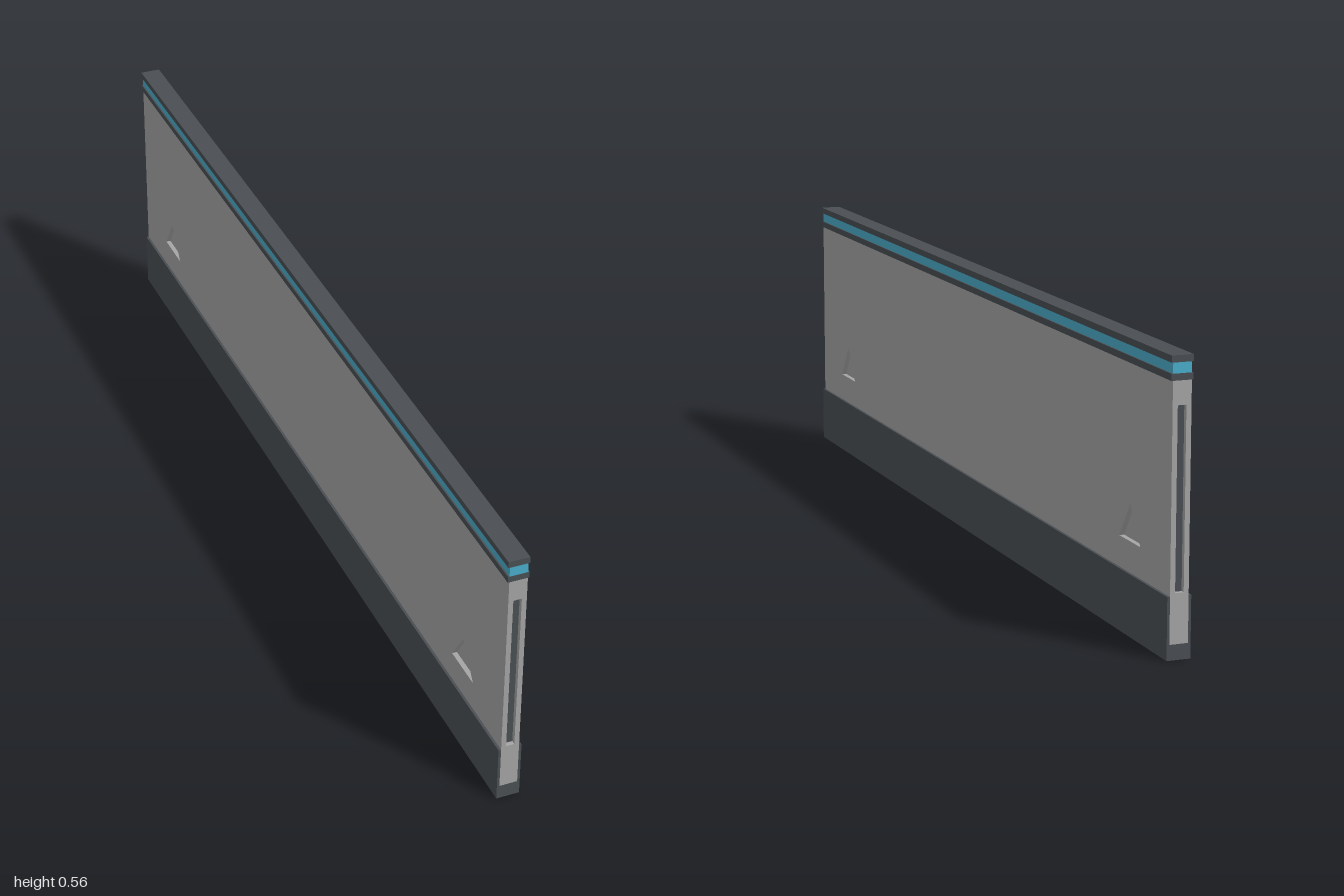
import * as THREE from 'three';

export function createModel() {
  const model = new THREE.Group();
  model.name = 'barrierWall';

  const mat = (name, color) => {
    const m = new THREE.MeshStandardMaterial({ color });
    m.name = name;
    return m;
  };
  const gray = mat('wall gray', 0xa5a5a5);
  const dark = mat('dark trim', 0x4a4f53);
  const blue = mat('light strip blue', 0x4aaccb);

  const add = (name, geometry, material) => {
    const mesh = new THREE.Mesh(geometry, material);
    mesh.name = name;
    model.add(mesh);
    return mesh;
  };
  // Box given by half width, y range and z range
  const box = (name, material, hw, y0, y1, z0 = -1, z1 = 1) => {
    const mesh = add(name, new THREE.BoxGeometry(hw * 2, y1 - y0, z1 - z0), material);
    mesh.position.set(0, (y0 + y1) / 2, (z0 + z1) / 2);
    return mesh;
  };
  const polygon = (points, Type = THREE.Shape) =>
    new Type(points.map(([x, y]) => new THREE.Vector2(x, y)));

  const wallHalf = 0.0185, coreHalf = 0.0085;
  const bottom = 0.03, top = 0.517;
  const slotLow = 0.126, slotHigh = 0.472, slotDepth = 0.012;

  // Side panels with triangular recesses, around a thin core
  const panel = polygon([[-1, bottom], [1, bottom], [1, top], [-1, top]]);
  for (const z of [-0.82, 0.82]) {
    panel.holes.push(polygon([[z - 0.048, 0.18], [z, 0.252], [z + 0.048, 0.18]], THREE.Path));
  }
  const panelGeometry = new THREE.ExtrudeGeometry(panel, {
    depth: wallHalf - coreHalf, bevelEnabled: false,
  });
  for (const side of [-1, 1]) {
    const mesh = add(side > 0 ? 'leftPanel' : 'rightPanel', panelGeometry, gray);
    mesh.rotation.y = side * Math.PI / 2;
    mesh.position.x = side * coreHalf;
  }
  box('wallCore', gray, coreHalf, bottom, top, -1 + slotDepth, 1 - slotDepth);

  // Wall ends: fillers above and below a recessed dark slot
  for (const s of [-1, 1]) {
    const end = (name, material, hw, y0, y1, inner, outer) =>
      box(name, material, hw, y0, y1, Math.min(s * inner, s * outer), Math.max(s * inner, s * outer));
    end('endFillerLow', gray, coreHalf, bottom, slotLow, 1 - slotDepth, 1);
    end('endFillerHigh', gray, coreHalf, slotHigh, top, 1 - slotDepth, 1);
    end('endSlot', dark, coreHalf, slotLow, slotHigh, 1 - slotDepth, 1 - slotDepth + 0.003);
  }

  // Channel-shaped base holding the wall
  const baseHalf = 0.0238, baseTop = 0.12;
  const channel = polygon([
    [-baseHalf, 0], [baseHalf, 0], [baseHalf, baseTop], [wallHalf, baseTop],
    [wallHalf, bottom], [-wallHalf, bottom], [-wallHalf, baseTop], [-baseHalf, baseTop],
  ]);
  const base = add('base', new THREE.ExtrudeGeometry(channel, { depth: 2, bevelEnabled: false }), dark);
  base.position.z = -1;

  // Top rails with the light strip between them
  box('lowerRail', dark, 0.0215, top, 0.53);
  box('lightStrip', blue, 0.0185, 0.53, 0.55);
  box('topRail', dark, 0.0215, 0.55, 0.563);

  return model;
}
